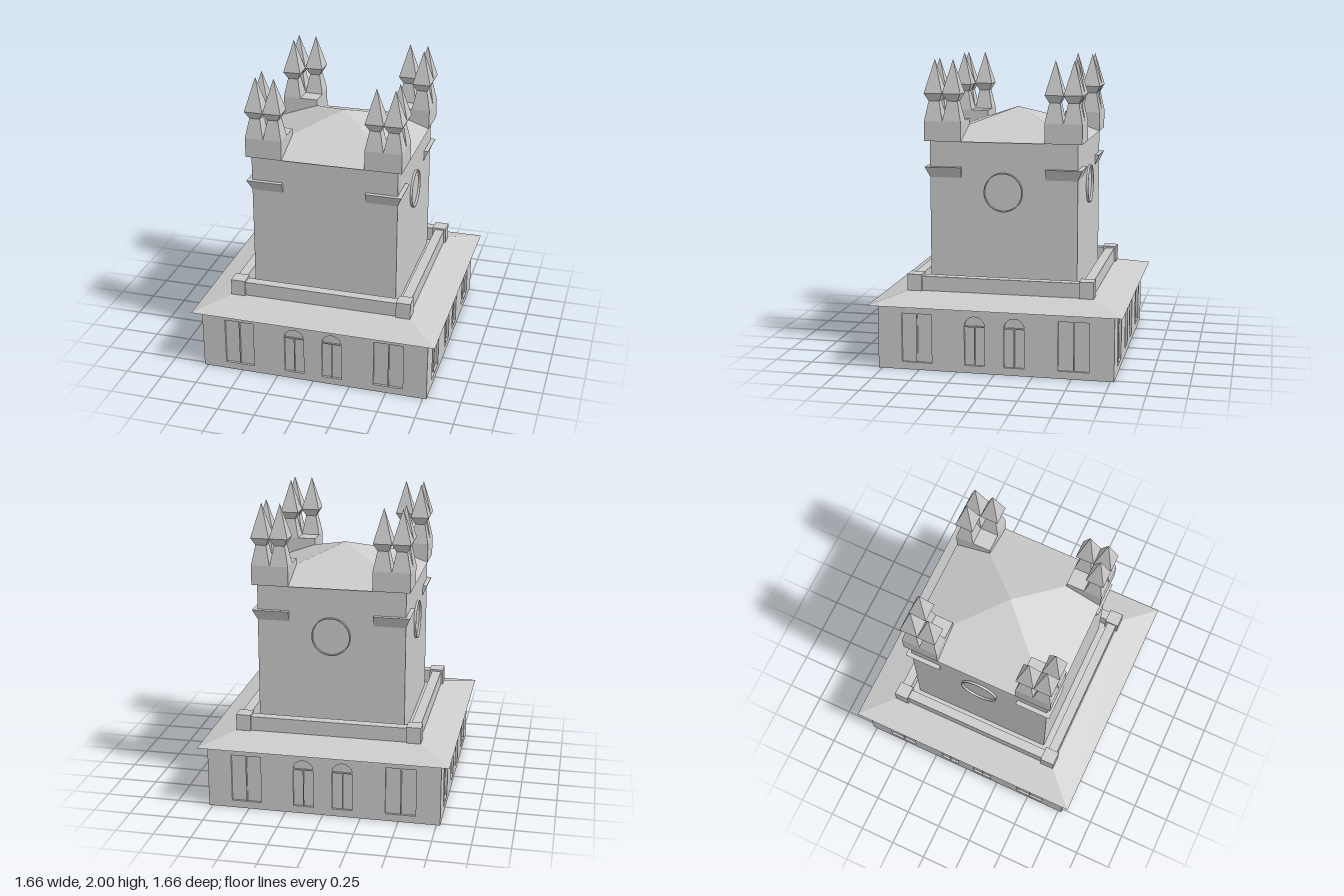
import * as THREE from 'three';

const material = new THREE.MeshStandardMaterial({ color: 0xcccccc, flatShading: true });
const smooth = new THREE.MeshStandardMaterial({ color: 0xcccccc });

function add(parent, name, geometry, x = 0, y = 0, z = 0, mat = material) {
  const mesh = new THREE.Mesh(geometry, mat);
  mesh.name = name;
  mesh.position.set(x, y, z);
  parent.add(mesh);
  return mesh;
}

// Square block standing on y = 0, tapering from half-width a to half-width b
function taper(a, b, height) {
  const g = new THREE.CylinderGeometry(b * Math.SQRT2, a * Math.SQRT2, height, 4, 1);
  return g.rotateY(Math.PI / 4).translate(0, height / 2, 0);
}

const box = (w, h, d) => new THREE.BoxGeometry(w, h, d);

function rectPath(x0, y0, x1, y1) {
  const p = new THREE.Path();
  p.moveTo(x0, y0).lineTo(x0, y1).lineTo(x1, y1).lineTo(x1, y0).closePath();
  return p;
}

function archPath(cx, r, y0, spring) {
  const p = new THREE.Path();
  p.moveTo(cx - r, y0).lineTo(cx - r, spring);
  p.absarc(cx, spring, r, Math.PI, 0, true);
  p.lineTo(cx + r, y0).closePath();
  return p;
}

// One outer wall of the base, facing +z, with recessed windows
function buildWall() {
  const wall = new THREE.Group();
  wall.name = 'baseWall';
  const shape = new THREE.Shape();
  shape.moveTo(-0.775, 0).lineTo(0.775, 0).lineTo(0.775, 0.42).lineTo(-0.775, 0.42).closePath();
  for (const s of [-1, 1]) {
    shape.holes.push(rectPath(s * 0.515 - 0.1, 0.05, s * 0.515 + 0.1, 0.375));
    shape.holes.push(archPath(s * 0.13, 0.067, 0.05, 0.308));
    add(wall, 'windowMullion', box(0.008, 0.325, 0.01), s * 0.515, 0.2125, 0.764);
    add(wall, 'archMullion', box(0.006, 0.258, 0.01), s * 0.13, 0.179, 0.764);
    add(wall, 'archTransom', box(0.134, 0.008, 0.01), s * 0.13, 0.308, 0.764);
  }
  const g = new THREE.ExtrudeGeometry(shape, { depth: 0.015, bevelEnabled: false, curveSegments: 12 });
  add(wall, 'wallFace', g, 0, 0, 0.76);
  return wall;
}

// Raised round rim on a tower face, facing +z
function buildDial() {
  const shape = new THREE.Shape();
  shape.absarc(0, 0, 0.129, 0, Math.PI * 2, false);
  const hole = new THREE.Path();
  hole.absarc(0, 0, 0.122, 0, Math.PI * 2, true);
  shape.holes.push(hole);
  const dial = new THREE.Group();
  dial.name = 'dial';
  const g = new THREE.ExtrudeGeometry(shape, { depth: 0.02, bevelEnabled: false, curveSegments: 24 });
  add(dial, 'dialRim', g, 0, 1.142, 0.485, smooth);
  return dial;
}

// Waisted pinnacle with a pointed cap
function buildPinnacle(x, z) {
  const p = new THREE.Group();
  p.name = 'pinnacle';
  p.position.set(x, 1.6, z);
  add(p, 'pinnacleStem', taper(0.061, 0.035, 0.13));
  add(p, 'pinnacleCollar', taper(0.035, 0.061, 0.05), 0, 0.13, 0);
  add(p, 'pinnacleCap', taper(0.061, 0, 0.22), 0, 0.18, 0);
  return p;
}

// Corner ledge: square on top, sloping in to the tower wall on its outer sides
function ledgeGeometry(sx, sz) {
  const g = box(0.24, 0.07, 0.24).translate(sx * 0.4, 1.265, sz * 0.4);
  const pos = g.attributes.position;
  for (let i = 0; i < pos.count; i++) {
    if (pos.getY(i) > 1.265) continue;
    if (Math.abs(pos.getX(i)) > 0.5) pos.setX(i, sx * 0.49);
    if (Math.abs(pos.getZ(i)) > 0.5) pos.setZ(i, sz * 0.49);
  }
  g.computeVertexNormals();
  return g;
}

export function createModel() {
  const model = new THREE.Group();
  model.name = 'clockTower';

  // Base and its eaves
  add(model, 'baseCore', box(1.52, 0.42, 1.52), 0, 0.21, 0);
  add(model, 'eaveUnderside', taper(0.775, 0.83, 0.01), 0, 0.418, 0);
  add(model, 'eaveRoof', taper(0.83, 0.615, 0.062), 0, 0.428, 0);

  // Tower shaft and pyramid roof
  add(model, 'towerShaft', box(0.98, 0.98, 0.98), 0, 0.98, 0);
  add(model, 'towerRoof', taper(0.52, 0, 0.19), 0, 1.47, 0);

  // Each of the four sides: wall, parapet rail, and a dial on all but the front
  for (let i = 0; i < 4; i++) {
    const side = new THREE.Group();
    side.name = 'side';
    side.rotation.y = i * Math.PI / 2;
    side.add(buildWall());
    add(side, 'parapetRail', box(1.06, 0.1, 0.065), 0, 0.537, 0.572);
    if (i > 0) side.add(buildDial());
    model.add(side);
  }

  // Each of the four corners: parapet post, ledge, turret block and three pinnacles
  for (const sx of [-1, 1]) {
    for (const sz of [-1, 1]) {
      const corner = new THREE.Group();
      corner.name = 'corner';
      add(corner, 'parapetPost', box(0.097, 0.11, 0.097), sx * 0.57, 0.545, sz * 0.57);
      add(corner, 'cornerLedge', ledgeGeometry(sx, sz));
      add(corner, 'turretBlock', box(0.244, 0.13, 0.244), sx * 0.398, 1.535, sz * 0.398);
      for (const [a, b] of [[0.459, 0.459], [0.337, 0.459], [0.459, 0.337]]) {
        corner.add(buildPinnacle(sx * a, sz * b));
      }
      model.add(corner);
    }
  }
  return model;
}
